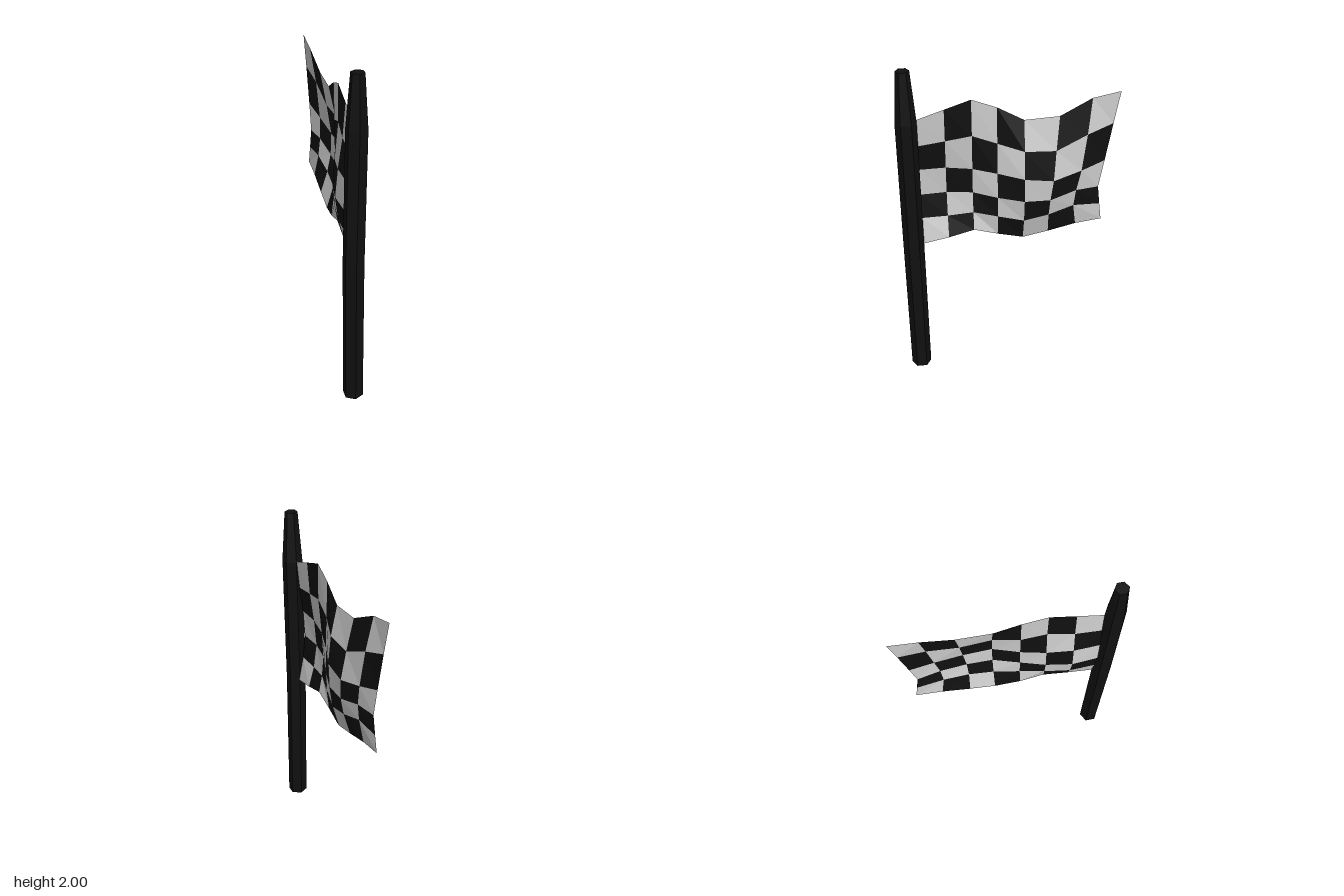
import * as THREE from 'three';

const black = new THREE.MeshStandardMaterial({ color: 0x101010, flatShading: true });
const cloth = (color) => new THREE.MeshStandardMaterial({ color, flatShading: true, side: THREE.DoubleSide });

// Cloth cross-sections from the pole to the free edge, each listed top to bottom
const columns = [
  { z: [0.51], x: [-0.01, -0.025, -0.045, -0.055, -0.04, -0.01], y: [1.71, 1.54, 1.38, 1.21, 1.06, 0.9] },
  { z: [0.36], x: [-0.01, -0.025, -0.05, -0.065, -0.045, -0.01], y: [1.76, 1.56, 1.38, 1.21, 1.06, 0.93] },
  { z: [0.21], x: [-0.01, -0.01, -0.03, -0.04, -0.03, -0.01], y: [1.81, 1.59, 1.37, 1.21, 1.08, 0.97] },
  { z: [0.07], x: [0, 0.005, 0.01, 0.01, 0.005, -0.01], y: [1.76, 1.54, 1.35, 1.19, 1.06, 0.93] },
  { z: [-0.08], x: [0.012, 0.05, 0.067, 0.06, 0.04, 0], y: [1.68, 1.5, 1.33, 1.18, 1.04, 0.9] },
  { z: [-0.28, -0.26, -0.245, -0.23, -0.225, -0.23], x: [0.012, 0.045, 0.07, 0.062, 0.04, 0], y: [1.69, 1.49, 1.31, 1.18, 1.07, 0.93] },
  { z: [-0.465, -0.44, -0.41, -0.385, -0.375, -0.395], x: [-0.005, 0.025, 0.04, 0.035, 0.02, 0], y: [1.78, 1.57, 1.35, 1.22, 1.11, 0.97] },
  { z: [-0.625, -0.59, -0.55, -0.52, -0.535, -0.55], x: [-0.007, 0, 0.007, 0.01, 0.005, 0], y: [1.81, 1.62, 1.39, 1.22, 1.1, 0.99] },
];

// All squares of one colour of the checkerboard
function checkerSquares(parity) {
  const point = (c, r) => {
    const { x, y, z } = columns[c];
    return [x[r], y[r], z[r] ?? z[0]];
  };
  const positions = [];
  for (let c = 0; c < columns.length - 1; c++) {
    for (let r = 0; r < 5; r++) {
      if ((c + r) % 2 !== parity) continue;
      const a = point(c, r), b = point(c, r + 1), d = point(c + 1, r + 1), e = point(c + 1, r);
      positions.push(...a, ...b, ...d, ...a, ...d, ...e);
    }
  }
  const geometry = new THREE.BufferGeometry();
  geometry.setAttribute('position', new THREE.Float32BufferAttribute(positions, 3));
  geometry.computeVertexNormals();
  return geometry;
}

// Six-sided pole, slightly bowed, tapering towards its tip
function poleGeometry() {
  const rings = [[0, 0.06, -0.007], [0.9, 0.061, -0.015], [1.7, 0.06, -0.008], [2, 0.038, -0.007]]; // y, radius, x
  const geometry = new THREE.CylinderGeometry(1, 1, 3, 6, 3);
  const p = geometry.attributes.position;
  for (let i = 0; i < p.count; i++) {
    const [y, radius, x] = rings[Math.round(p.getY(i) + 1.5)];
    p.setXYZ(i, x + p.getX(i) * radius, y, 0.57 + p.getZ(i) * radius);
  }
  geometry.computeVertexNormals();
  return geometry;
}

export function createModel() {
  const model = new THREE.Group();
  model.name = 'checkeredFlag';
  const add = (parent, name, geometry, material) => {
    const mesh = new THREE.Mesh(geometry, material);
    mesh.name = name;
    parent.add(mesh);
  };

  add(model, 'pole', poleGeometry(), black);

  const flag = new THREE.Group();
  flag.name = 'flagCloth';
  add(flag, 'lightSquares', checkerSquares(0), cloth(0xcccccc));
  add(flag, 'darkSquares', checkerSquares(1), cloth(0x101010));
  model.add(flag);

  return model;
}
